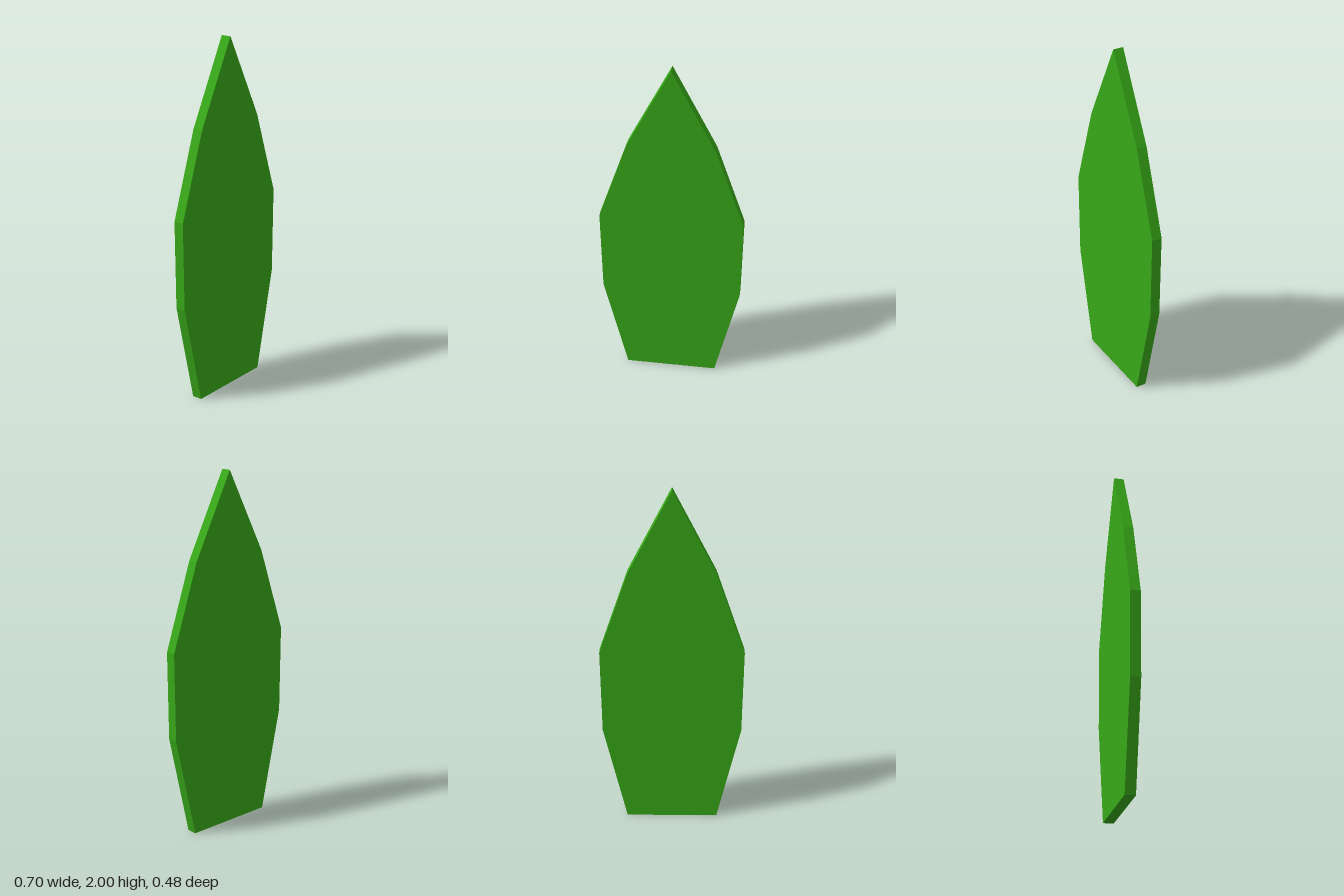
import * as THREE from 'three';

export function createModel() {
  const group = new THREE.Group();
  group.name = 'leafBlade';

  // Right half of the outline as [half width, height], mirrored for the left
  const half = [[0.26, 0], [0.391, 0.58], [0.397, 1.07], [0.236, 1.54]];
  const outline = [
    ...half,
    [0, 2],
    ...half.map(([x, y]) => [-x, y]).reverse(),
  ].map(([x, y]) => new THREE.Vector2(x, y));

  // Flat slab of even thickness, centred on its own plane
  const thickness = 0.058;
  const geometry = new THREE.ExtrudeGeometry(new THREE.Shape(outline), {
    depth: thickness,
    bevelEnabled: false,
  });
  geometry.translate(0, 0, -thickness / 2);

  const leaf = new THREE.Mesh(
    geometry,
    new THREE.MeshStandardMaterial({ color: 0x37a818, flatShading: true })
  );
  leaf.name = 'leaf';
  // Turned about the upright axis
  leaf.rotation.y = THREE.MathUtils.degToRad(33.1);
  group.add(leaf);

  return group;
}
